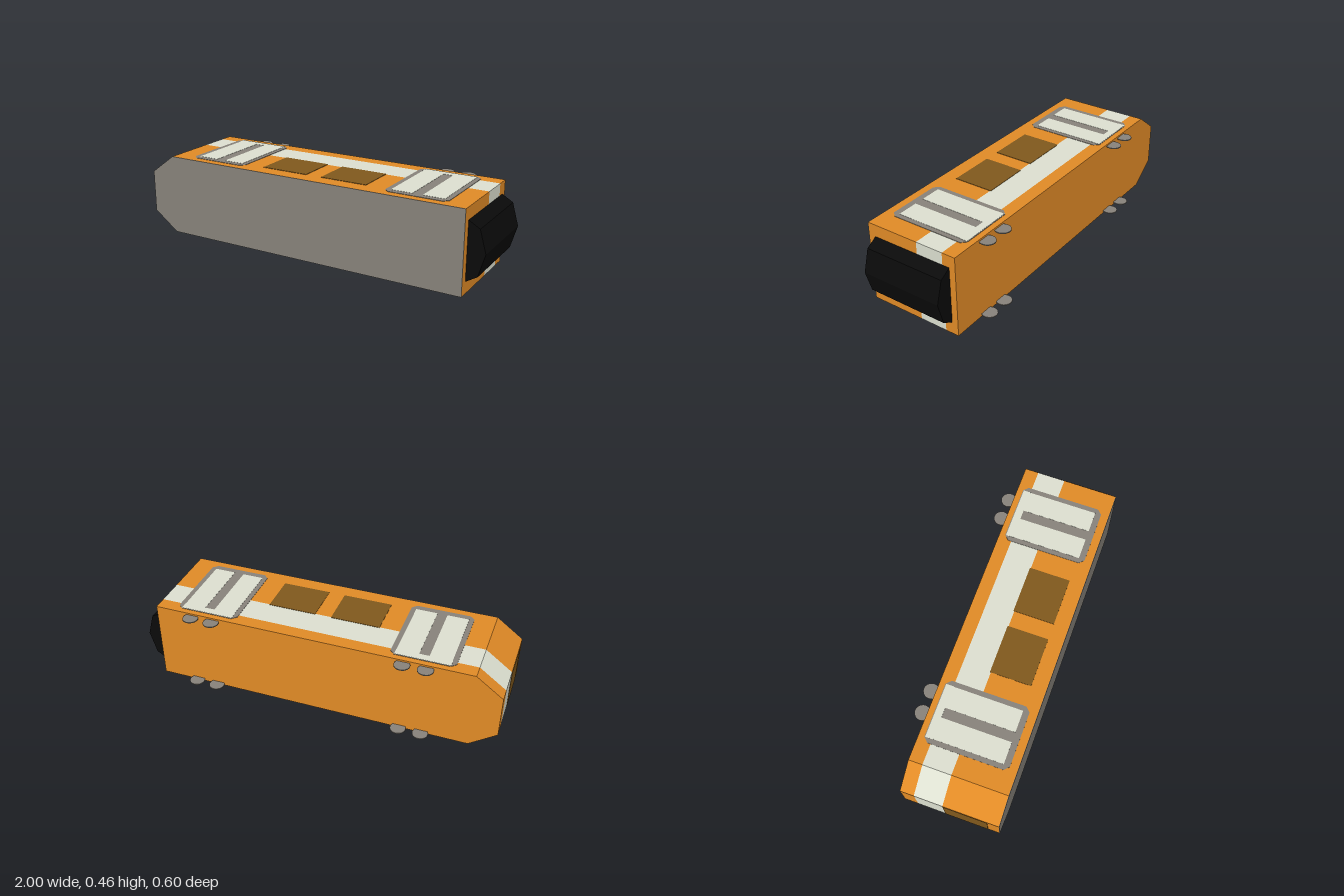
import * as THREE from 'three';

const mat = (color) => new THREE.MeshStandardMaterial({ color, roughness: 0.9 });
const ORANGE = mat(0xe08a26), PALE = mat(0xdcdfd0), GREY = mat(0x87827a);
const BROWN = mat(0x80581c), BLACK = mat(0x0a0a0a);
const H = 0.455, SKIN = 0.003;

export function createModel() {
  const model = new THREE.Group();

  const add = (parent, name, geometry, material) => {
    const mesh = new THREE.Mesh(geometry, material);
    mesh.name = name;
    parent.add(mesh);
    return mesh;
  };
  const box = (parent, name, material, x0, x1, y0, y1, z0, z1) =>
    add(parent, name, new THREE.BoxGeometry(x1 - x0, y1 - y0, z1 - z0), material)
      .position.set((x0 + x1) / 2, (y0 + y1) / 2, (z0 + z1) / 2);
  const polygon = (points) => new THREE.Shape(points.map(([x, y]) => new THREE.Vector2(x, y)));
  const slab = (shape, z0, z1) =>
    new THREE.ExtrudeGeometry(shape, { depth: z1 - z0, bevelEnabled: false }).translate(0, 0, z0);

  // Carriage lies on its side: roof towards +z, sloped cab at -x
  const profile = polygon([
    [-1, 0.11], [-0.855, SKIN], [0.905, SKIN], [0.905, H - SKIN], [-0.855, H - SKIN], [-1, 0.345],
  ]);
  const body = new THREE.Group();
  body.name = 'body';
  model.add(body);
  add(body, 'lowerBody', slab(profile, -0.232, -0.157), ORANGE);
  add(body, 'paleStripe', slab(profile, -0.157, -0.003), PALE);
  add(body, 'upperBody', slab(profile, -0.003, 0.297), ORANGE);
  add(body, 'roof', slab(profile, 0.297, 0.3), GREY);

  // Cab window
  box(model, 'cabWindow', BROWN, -1.002, -0.99, 0.115, 0.34, -0.003, 0.235);

  // Gangway connector at the rear end
  const gangway = polygon([
    [0.89, 0.07], [0.905, 0.07], [0.965, 0.105], [1, 0.228], [0.965, 0.35], [0.905, 0.385], [0.89, 0.385],
  ]);
  add(model, 'gangway', slab(gangway, -0.197, 0.258), BLACK);

  // Doors and windows on both long sides
  const c = 0.025;
  for (const [side, yIn, yOut] of [['left', H - 0.008, H], ['right', 0.008, 0]]) {
    const out = Math.sign(yOut - yIn);
    const panel = (parent, name, material, x0, x1, z0, z1, drop) => {
      const y = yOut - out * drop;
      box(parent, name, material, x0, x1, Math.min(yIn, y), Math.max(yIn, y), z0, z1);
    };

    for (const x of [-0.572, 0.622]) {
      const door = new THREE.Group();
      door.name = side + 'Door';
      model.add(door);
      const w = 0.172, z0 = -0.2, z1 = 0.255;
      const frame = polygon([
        [x - w + c, z0], [x + w - c, z0], [x + w, z0 + c], [x + w, z1 - c],
        [x + w - c, z1], [x - w + c, z1], [x - w, z1 - c], [x - w, z0 + c],
      ]);
      const geometry = slab(frame, 0, 0.007).rotateX(Math.PI / 2);
      geometry.translate(0, out > 0 ? H - 0.001 : 0.008, 0);
      add(door, 'doorFrame', geometry, GREY);
      panel(door, 'doorSill', PALE, x - w + c, x + w - c, z0 + 0.004, -0.155, 0);
      for (const s of [-1, 1]) {
        const cx = x + s * 0.086;
        panel(door, 'doorLeaf', PALE, cx - 0.059, cx + 0.059, -0.155, 0.222, 0);
      }
    }

    for (const [x0, x1] of [[-0.29, -0.02], [0.07, 0.335]])
      panel(model, side + 'Window', BROWN, x0, x1, -0.008, 0.217, 0.001);
  }

  // Thin wheels half sunk into the underside
  for (const y of [0.016, 0.44])
    for (const x of [-0.605, -0.484, 0.57, 0.69])
      add(model, 'wheel', new THREE.CylinderGeometry(0.042, 0.042, 0.005, 24), GREY)
        .position.set(x, y, -0.256);

  return model;
}
